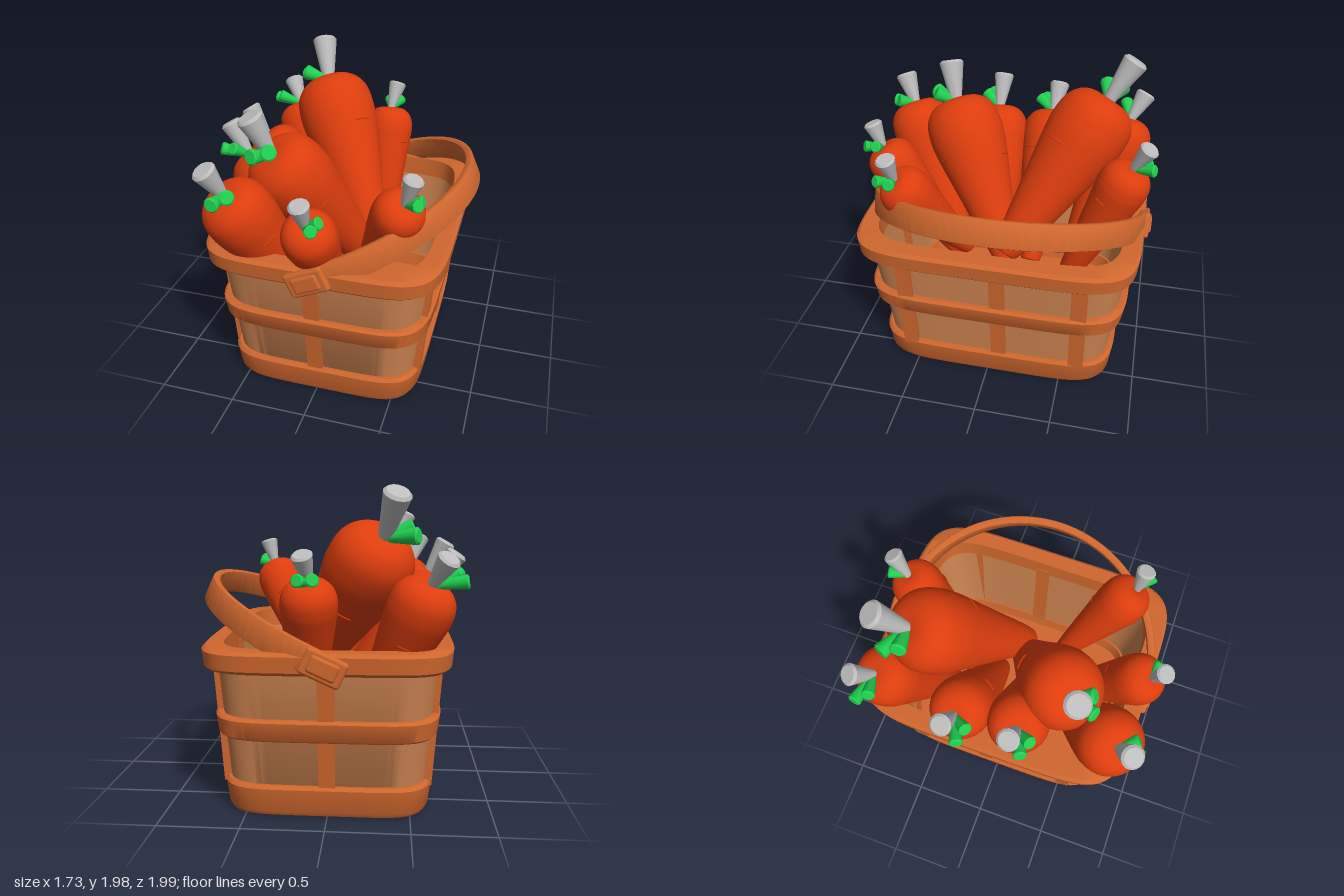
import * as THREE from 'three';
import { toCreasedNormals } from 'three/addons/utils/BufferGeometryUtils.js';
import { RoundedBoxGeometry } from 'three/addons/geometries/RoundedBoxGeometry.js';

const mat = (name, color, side = THREE.FrontSide) => {
  const m = new THREE.MeshStandardMaterial({ color, side });
  m.name = name;
  return m;
};
const UP = new THREE.Vector3(0, 1, 0);
const v = (a) => new THREE.Vector3(...a);

function add(parent, name, geometry, material) {
  const mesh = new THREE.Mesh(geometry, material);
  mesh.name = name;
  parent.add(mesh);
  return mesh;
}

// Rounded-rectangle rings [halfX, halfZ, y] joined into one surface
function sweep(rows, n = 96) {
  const pos = [], idx = [];
  const soft = (c) => Math.sign(c) * Math.abs(c) ** (1 / 3);
  for (const [hx, hz, y] of rows) {
    for (let i = 0; i < n; i++) {
      const a = ((i + 0.5) / n) * Math.PI * 2;
      pos.push(hx * soft(Math.cos(a)), y, hz * soft(Math.sin(a)));
    }
  }
  for (let r = 0; r < rows.length - 1; r++) {
    for (let i = 0; i < n; i++) {
      const a = r * n + i, b = r * n + ((i + 1) % n), c = a + n, d = b + n;
      idx.push(a, c, b, b, c, d);
    }
  }
  const g = new THREE.BufferGeometry();
  g.setAttribute('position', new THREE.Float32BufferAttribute(pos, 3));
  g.setIndex(idx);
  return toCreasedNormals(g, 0.7);
}

// Closed hoop with softened edges, flaring from the lower to the upper size
function hoop(hx0, hz0, y0, hx1, hz1, y1, t, e = 0.014) {
  return sweep([
    [hx0 - t, hz0 - t, y0], [hx0 - e, hz0 - e, y0], [hx0, hz0, y0 + e],
    [hx1, hz1, y1 - e], [hx1 - e, hz1 - e, y1], [hx1 - t, hz1 - t, y1], [hx0 - t, hz0 - t, y0],
  ]);
}

// Tapered stub, wide at its far end, from one point to another
function stub(parent, name, from, to, r0, r1, material) {
  const dir = to.clone().sub(from), len = dir.length(), e = r1 * 0.2;
  const pts = [[0, 0], [r0, 0], [r1, len - e], [r1 * 0.8, len], [0, len]];
  const g = new THREE.LatheGeometry(pts.map((p) => new THREE.Vector2(...p)), 14);
  const mesh = add(parent, name, toCreasedNormals(g, 0.7), material);
  mesh.position.copy(from);
  mesh.quaternion.setFromUnitVectors(UP, dir.normalize());
}

function carrot(R, crown, tail, stemTip, leafTip, m) {
  const group = new THREE.Group();
  group.name = 'carrot';
  const C = v(crown), T = v(tail), S = v(stemTip), G = v(leafTip);
  const axis = C.clone().sub(T), L = axis.length();
  axis.normalize();

  // body
  const pts = [[0, -L], [0.25 * R, -L + 0.04 * R], [0.4 * R, -L + 0.25 * R], [0.7 * R, -0.6 * L],
    [0.96 * R, -1.4 * R], [R, -0.85 * R], [0.93 * R, -0.42 * R], [0.7 * R, -0.12 * R],
    [0.38 * R, 0], [0, -0.03 * R]].map((p) => new THREE.Vector2(...p));
  const profile = new THREE.SplineCurve(pts).getPoints(36);
  profile.forEach((p) => { p.x = Math.max(p.x, 0); });
  const body = add(group, 'carrotBody', new THREE.LatheGeometry(profile, 36), m.carrot);
  body.position.copy(C);
  body.quaternion.setFromUnitVectors(UP, axis);

  // short skin ridges
  [[1.5, 0.955, 0.4], [2.1, 0.83, 2.6], [1.8, 0.9, 4.6]].forEach(([d, r, turn]) => {
    const ridge = add(body, 'skinRidge', new THREE.TorusGeometry(r * R, 0.006, 5, 10, 0.45), m.carrot);
    ridge.rotation.set(Math.PI / 2, 0, turn);
    ridge.position.y = -d * R;
  });

  // stem and two leaf stubs
  const k = R / 0.27;
  const root = C.clone().addScaledVector(axis, -0.05 * R);
  stub(group, 'stem', root, S, 0.04 * k, 0.025 + 0.062 * k, m.stem);
  const side = G.clone().sub(C).cross(S.clone().sub(C)).normalize();
  [[0.03, 1], [-0.045, 0.8]].forEach(([shift, reach]) => {
    const tip = root.clone().lerp(G, reach).addScaledVector(side, shift * (0.5 + k));
    stub(group, 'leafStub', root, tip, 0.025 * k, 0.018 + 0.035 * k, m.leaf);
  });
  return group;
}

export function createModel() {
  const m = {
    wood: mat('basket wood', 0xd0672e),
    panel: mat('pale panel wood', 0xcb8350, THREE.DoubleSide),
    carrot: mat('carrot orange', 0xdc3d0d),
    stem: mat('grey stem', 0xbcbcbc),
    leaf: mat('leaf green', 0x20d050),
  };
  const model = new THREE.Group();
  model.name = 'carrotBasket';

  // basket
  const basket = new THREE.Group();
  basket.name = 'basket';
  basket.position.set(0.013, 0, -0.035);
  model.add(basket);
  add(basket, 'base', sweep([[0, 0, 0], [0.6, 0.755, 0], [0.628, 0.783, 0.008], [0.642, 0.797, 0.035],
    [0.66, 0.812, 0.18], [0.645, 0.797, 0.2], [0.59, 0.735, 0.2], [0.57, 0.715, 0.1], [0, 0, 0.1]]), m.wood);
  add(basket, 'wallPanel', hoop(0.628, 0.775, 0.16, 0.684, 0.862, 0.95, 0.03), m.panel);
  add(basket, 'middleBand', hoop(0.69, 0.853, 0.49, 0.702, 0.868, 0.625, 0.06), m.wood);
  add(basket, 'rim', hoop(0.764, 0.912, 0.905, 0.772, 0.92, 1.04, 0.12, 0.02), m.wood);

  // upright slats, leaning with the walls
  const slat = (x0, z0, x1, z1, w, d) => {
    const a = new THREE.Vector3(x0, 0.16, z0), b = new THREE.Vector3(x1, 0.95, z1);
    const mesh = add(basket, 'slat', new THREE.BoxGeometry(w, a.distanceTo(b), d), m.wood);
    mesh.position.copy(a).add(b).multiplyScalar(0.5);
    mesh.quaternion.setFromUnitVectors(UP, b.sub(a).normalize());
  };
  for (const s of [-1, 1]) {
    slat(-0.013, s * 0.765, -0.013, s * 0.852, 0.1, 0.06);
    for (const z of [0.565, -0.05, -0.575]) slat(s * 0.615, z, s * 0.671, z, 0.06, 0.1);
  }

  // folded-over handle with a buckle at each pivot
  const handle = new THREE.Group();
  handle.name = 'handle';
  handle.position.set(0, 0.96, -0.035);
  handle.rotation.z = 0.425;
  model.add(handle);
  const Ro = 0.918, Ri = 0.892, H = Math.PI / 2;
  const arch = new THREE.Shape();
  arch.moveTo(-0.1, -Ro).lineTo(0, -Ro).absarc(0, 0, Ro, -H, H, false).lineTo(-0.1, Ro)
    .lineTo(-0.1, Ri).lineTo(0, Ri).absarc(0, 0, Ri, H, -H, true).lineTo(-0.1, -Ri);
  const strap = new THREE.ExtrudeGeometry(arch, {
    depth: 0.14, bevelSize: 0.012, bevelThickness: 0.012, bevelSegments: 2, curveSegments: 48,
  });
  strap.translate(0, 0, -0.07).rotateX(H);
  add(handle, 'handleStrap', toCreasedNormals(strap, 0.6), m.wood);
  for (const s of [-1, 1]) {
    add(handle, 'bucklePlate', new RoundedBoxGeometry(0.26, 0.165, 0.06, 3, 0.02), m.wood)
      .position.set(0.01, 0, s * 0.92);
    add(handle, 'buckleBoss', new RoundedBoxGeometry(0.18, 0.11, 0.06, 3, 0.02), m.wood)
      .position.set(0.01, 0, s * 0.934);
  }

  // carrots: radius, crown, tail, stem tip, leaf tip
  [
    [0.2, [-0.6, 1.42, -0.78], [-0.2, 0.45, -0.45], [-0.69, 1.58, -0.87], [-0.8, 1.46, -0.78]],
    [0.27, [-0.33, 1.68, -0.63], [0.2, 0.7, -0.03], [-0.4, 1.94, -0.78], [-0.53, 1.71, -0.67]],
    [0.17, [0.1, 1.43, -0.84], [0.14, 0.5, -0.45], [0.13, 1.6, -0.93], [0.12, 1.46, -0.98]],
    [0.2, [-0.67, 1.38, -0.22], [0, 0.5, -0.18], [-0.79, 1.56, -0.24], [-0.81, 1.44, -0.11]],
    [0.2, [-0.63, 1.4, 0.18], [-0.03, 0.5, 0.05], [-0.75, 1.61, 0.17], [-0.76, 1.47, 0.28]],
    [0.26, [-0.37, 1.55, 0.44], [0.15, 0.6, -0.05], [-0.47, 1.8, 0.49], [-0.39, 1.6, 0.6]],
    [0.22, [-0.53, 1.42, 0.8], [-0.12, 0.45, 0.35], [-0.6, 1.61, 0.88], [-0.5, 1.44, 0.94]],
    [0.17, [0.0, 1.33, 0.87], [0.01, 0.5, 0.32], [-0.01, 1.5, 0.93], [0.09, 1.37, 0.94]],
    [0.165, [0.52, 1.41, 0.6], [0.2, 0.72, 0.22], [0.57, 1.59, 0.62], [0.63, 1.45, 0.65]],
  ].forEach((c) => model.add(carrot(...c, m)));

  return model;
}
